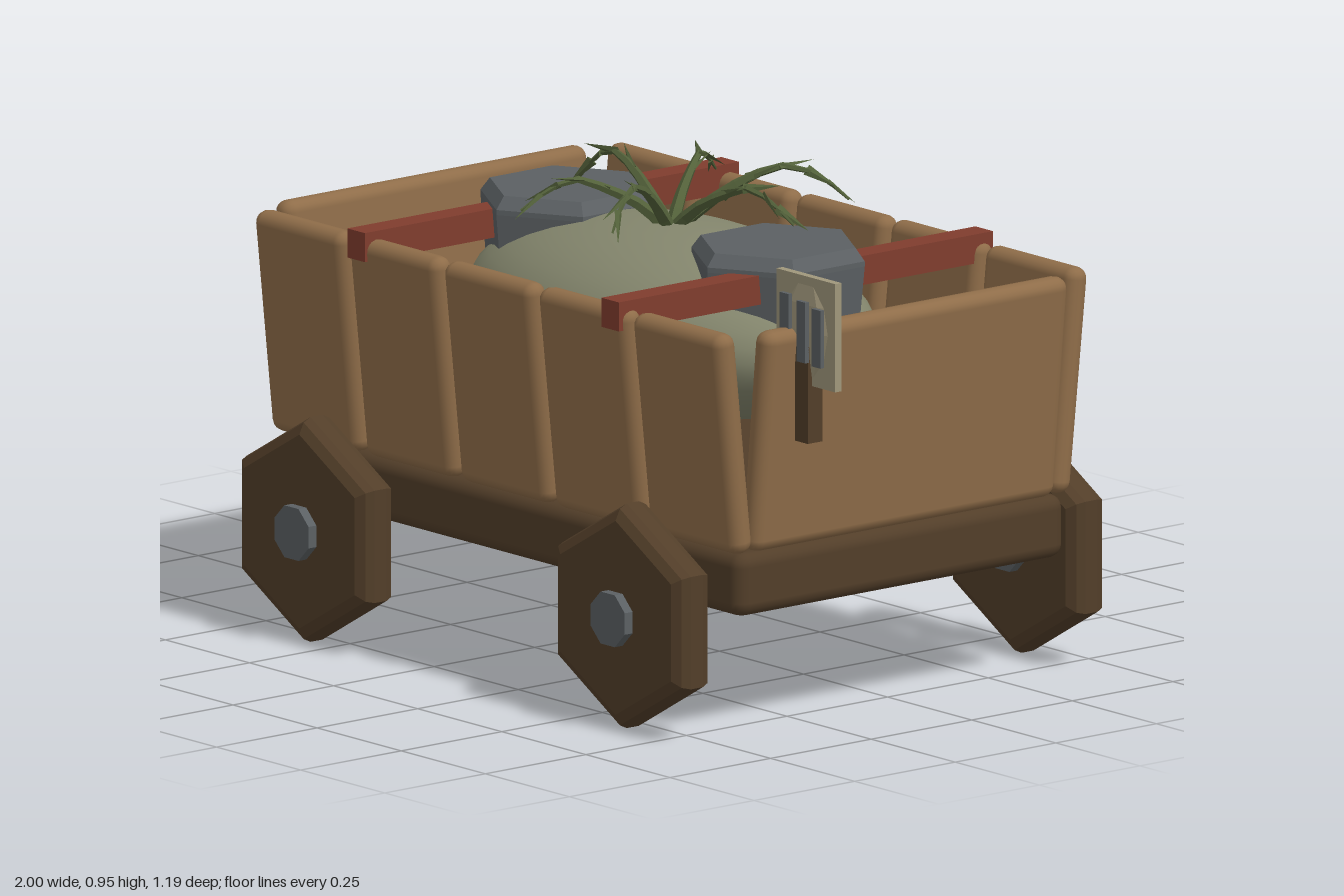
import * as THREE from 'three';
import { RoundedBoxGeometry } from 'three/addons/geometries/RoundedBoxGeometry.js';

const mat = (name, color) => {
  const m = new THREE.MeshStandardMaterial({ color });
  m.name = name;
  return m;
};

export function createModel() {
  const root = new THREE.Group();
  root.name = 'produceCart';
  const plankWood = mat('plankWood', 0x8f6d49);
  const darkWood = mat('darkWood', 0x523e29);
  const stone = mat('greyStone', 0x5b6063);
  const redWood = mat('redWood', 0x803d2e);
  const gourdSkin = mat('gourdSkin', 0x84866d);
  const leaf = mat('leafGreen', 0x526039);
  const paper = mat('signPaper', 0xa0977b);

  const add = (name, geometry, material, x, y, z, parent = root) => {
    const m = new THREE.Mesh(geometry, material);
    m.name = name;
    m.position.set(x, y, z);
    parent.add(m);
    return m;
  };
  const flat = (g) => {
    const f = g.toNonIndexed();
    f.computeVertexNormals();
    return f;
  };
  const lathe = (points, sides) =>
    flat(new THREE.LatheGeometry(points.map(([r, y]) => new THREE.Vector2(r, y)), sides));

  const CX = 0.157, CZ = 0.042;

  // Bed of the cart
  add('cartBed', new RoundedBoxGeometry(1.38, 0.125, 0.815, 2, 0.028), darkWood, CX, 0.298, CZ);

  // Flared side planks, front and back
  const plank = new RoundedBoxGeometry(0.268, 0.44, 0.05, 2, 0.024);
  for (const side of [1, -1]) {
    for (let i = -2; i <= 2; i++) {
      const p = add('sidePlank', plank, plankWood, CX + i * 0.281, 0.58, CZ + side * 0.417);
      p.rotation.x = side * 0.105;
    }
  }

  // Flared end boards
  const board = new RoundedBoxGeometry(0.05, 0.44, 0.755, 2, 0.024);
  for (const side of [1, -1]) {
    const b = add('endBoard', board, plankWood, CX + side * 0.694, 0.58, CZ);
    b.rotation.z = -side * 0.1;
  }

  // Six-sided wheels with hubs
  const wheelGeo = lathe(
    [[0, -0.043], [0.19, -0.043], [0.212, -0.032], [0.22, -0.015], [0.22, 0.015], [0.212, 0.032], [0.19, 0.043], [0, 0.043]], 6);
  const hubGeo = flat(new THREE.CylinderGeometry(0.055, 0.055, 0.125, 8));
  hubGeo.rotateY(Math.PI / 8);
  for (const x of [-0.31, 0.63]) {
    for (const z of [0.533, -0.448]) {
      const wheel = new THREE.Group();
      wheel.name = 'wheel';
      wheel.position.set(x, 0.22, z);
      wheel.rotation.x = Math.PI / 2;
      add('wheelRim', wheelGeo, darkWood, 0, 0, 0, wheel);
      add('wheelHub', hubGeo, stone, 0, 0, 0, wheel);
      root.add(wheel);
    }
  }

  // Red cross bars
  for (const x of [-0.22, 0.535]) {
    add('crossBar', new THREE.BoxGeometry(0.052, 0.057, 0.93), redWood, x, 0.787, 0.045);
  }

  // Large gourd lying in the cart
  const gourd = add('largeGourd', new THREE.SphereGeometry(1, 32, 20), gourdSkin, CX, 0.65, 0.038);
  gourd.scale.set(0.503, 0.183, 0.298);

  // Six-sided stone pots
  const potGeo = lathe(
    [[0, -0.115], [0.135, -0.115], [0.16, -0.09], [0.176, 0.08], [0.176, 0.09], [0.157, 0.115], [0, 0.115]], 6);
  for (const x of [-0.157, 0.47]) add('stonePot', potGeo, stone, x, 0.733, 0.038);

  // Flattened gourd beside the back wheel, thinned and drooping at its outer tip
  const sackGeo = new THREE.SphereGeometry(1, 32, 20);
  sackGeo.rotateZ(Math.PI / 2);
  const sp = sackGeo.attributes.position;
  for (let i = 0; i < sp.count; i++) {
    const x = sp.getX(i), tip = Math.max(0, -x);
    sp.setXYZ(i, x * 0.375, sp.getY(i) * 0.104 * (1 - 0.25 * tip * tip) - 0.025 * tip * tip, sp.getZ(i) * 0.26);
  }
  sackGeo.computeVertexNormals();
  add('fallenGourd', sackGeo, gourdSkin, -0.625, 0.206, -0.338);

  // Arching stalks with small leaflets
  const leafletGeo = flat(new THREE.ConeGeometry(0.011, 0.075, 4));
  leafletGeo.scale(1, 1, 0.45);
  const up = new THREE.Vector3(0, 1, 0);
  const tips = [[-0.12, 0.035], [0, -0.2], [0.36, -0.23], [0.46, -0.01], [0.29, 0.3], [0.03, 0.31]];
  const plant = new THREE.Group();
  plant.name = 'plant';
  root.add(plant);
  tips.forEach(([tx, tz], n) => {
    const at = (k, y) => new THREE.Vector3(CX + (tx - CX) * k, y, CZ + (tz - CZ) * k);
    const peak = n % 2 ? 0.925 : 0.938;
    const curve = new THREE.CatmullRomCurve3(
      [at(0.02, 0.815), at(0.2, 0.865), at(0.45, peak - 0.02), at(0.65, peak), at(0.85, peak - 0.025), at(1, 0.87)]);
    const segs = 8, sides = 5;
    const tube = new THREE.TubeGeometry(curve, segs, 0.015, sides);
    const p = tube.attributes.position;
    for (let i = 0; i <= segs; i++) {
      const c = curve.getPointAt(i / segs), k = 1 - 0.85 * (i / segs);
      for (let j = 0; j <= sides; j++) {
        const id = i * (sides + 1) + j;
        const v = new THREE.Vector3().fromBufferAttribute(p, id).sub(c).multiplyScalar(k).add(c);
        p.setXYZ(id, v.x, v.y, v.z);
      }
    }
    add('stalk', flat(tube), leaf, 0, 0, 0, plant);
    [0.45, 0.62, 0.76, 0.88].forEach((t, i) => {
      const c = curve.getPointAt(t);
      const dir = curve.getTangentAt(t).applyAxisAngle(up, i % 2 ? 0.4 : -0.4).normalize();
      c.addScaledVector(dir, 0.03);
      add('leaflet', leafletGeo, leaf, c.x, c.y, c.z, plant).quaternion.setFromUnitVectors(up, dir);
    });
  });

  // Sign board on a short post at the front corner
  const sign = new THREE.Group();
  sign.name = 'sign';
  root.add(sign);
  add('signPost', new THREE.BoxGeometry(0.038, 0.19, 0.036), darkWood, 0.91, 0.675, 0.33, sign);
  add('signBoard', new THREE.BoxGeometry(0.175, 0.212, 0.016), paper, 0.911, 0.798, 0.33, sign);
  const bulge = add('signBulge', flat(new THREE.SphereGeometry(1, 6, 6)), paper, 0.911, 0.798, 0.33, sign);
  bulge.scale.set(0.088, 0.104, 0.018);
  [-0.045, 0.005, 0.05].forEach((x, i) => {
    add('signStripe', new THREE.BoxGeometry(0.026, 0.125 - i * 0.006, 0.009), stone, 0.911 + x, 0.803 - i * 0.005, 0.35, sign);
  });

  return root;
}
